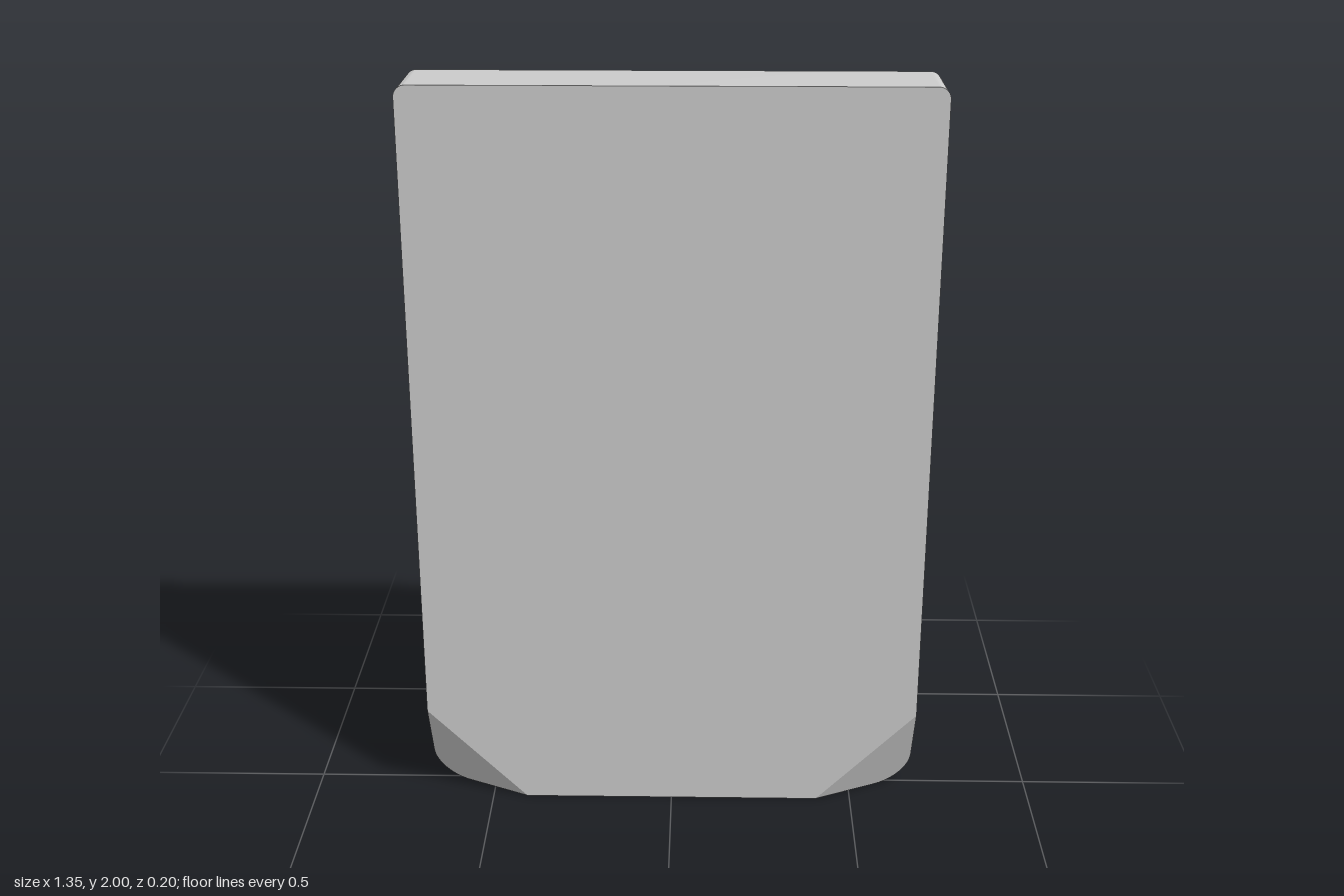
import * as THREE from 'three';
import { mergeGeometries, toCreasedNormals } from 'three/addons/utils/BufferGeometryUtils.js';

const W = 0.675, H = 2, D = 0.1;        // half width, height, half depth
const R_TOP = 0.03, R_BOTTOM = 0.1;     // corner radii
const CUT = 0.27;                       // leg of the corner cut on the front face
const CUT_END = 2 * R_BOTTOM * (1 - Math.SQRT1_2); // the cut reaches z = 0 at the middle of the arc
const EPS = 1e-5;

// distance measure from a bottom corner, constant along 45 degree lines
const cornerDistance = (p) => W - Math.abs(p.x) + p.y;

// front depth: flat, sloping back at the two cut bottom corners
const frontZ = (p) => Math.min(D, D * (cornerDistance(p) - CUT_END) / (CUT - CUT_END));

function outlinePoints() {
  const s = new THREE.Shape();
  s.moveTo(-W + CUT, 0);
  s.lineTo(W - CUT, 0);
  s.absarc(W - R_BOTTOM, R_BOTTOM, R_BOTTOM, -Math.PI / 2, 0);
  s.lineTo(W, CUT);
  s.absarc(W - R_TOP, H - R_TOP, R_TOP, 0, Math.PI / 2);
  s.absarc(-W + R_TOP, H - R_TOP, R_TOP, Math.PI / 2, Math.PI);
  s.lineTo(-W, CUT);
  s.absarc(-W + R_BOTTOM, R_BOTTOM, R_BOTTOM, Math.PI, Math.PI * 1.5);
  return s.getPoints(16);
}

// flat polygon whose points are lifted to a depth given by a rule
function face(points, depth) {
  const indexed = new THREE.ShapeGeometry(new THREE.Shape(points));
  const pos = indexed.attributes.position;
  for (let i = 0; i < pos.count; i++) {
    pos.setZ(i, depth({ x: pos.getX(i), y: pos.getY(i) }));
  }
  const g = indexed.toNonIndexed();
  g.deleteAttribute('uv');
  g.deleteAttribute('normal');
  return g;
}

// side wall running around the outline
function wall(points) {
  const v = [];
  points.forEach((a, i) => {
    const b = points[(i + 1) % points.length];
    const za = frontZ(a), zb = frontZ(b);
    v.push(a.x, a.y, -D, b.x, b.y, -D, b.x, b.y, zb);
    v.push(a.x, a.y, -D, b.x, b.y, zb, a.x, a.y, za);
  });
  const g = new THREE.BufferGeometry();
  g.setAttribute('position', new THREE.Float32BufferAttribute(v, 3));
  return g;
}

export function createModel() {
  const points = outlinePoints();

  // back face, turned to look towards -z
  const back = face(points.map((p) => new THREE.Vector2(-p.x, p.y)).reverse(), () => -D);
  back.scale(-1, 1, 1);
  const b = back.attributes.position;
  for (let i = 0; i < b.count; i += 3) {
    const p = new THREE.Vector3().fromBufferAttribute(b, i + 1);
    const q = new THREE.Vector3().fromBufferAttribute(b, i + 2);
    b.setXYZ(i + 1, q.x, q.y, q.z);
    b.setXYZ(i + 2, p.x, p.y, p.z);
  }
  // mirrored triangles run counter-clockwise from the front, so the swap turns them to the back

  const front = face(points.filter((p) => cornerDistance(p) > CUT - EPS), () => D);
  const cuts = [1, -1].map((side) => face(
    points.filter((p) => p.x * side > 0 && cornerDistance(p) < CUT + EPS), frontZ));

  const merged = mergeGeometries([front, back, ...cuts, wall(points)]);
  // orient the back so that its normals face -z
  const pos = merged.attributes.position;
  const [p, q, r] = [0, 1, 2].map(() => new THREE.Vector3());
  for (let i = 0; i < pos.count; i += 3) {
    [p, q, r].forEach((t, k) => t.fromBufferAttribute(pos, i + k));
    const onBack = [p, q, r].every((t) => t.z < -D + EPS);
    if (onBack && (q.x - p.x) * (r.y - p.y) > (q.y - p.y) * (r.x - p.x)) {
      pos.setXYZ(i + 1, r.x, r.y, r.z);
      pos.setXYZ(i + 2, q.x, q.y, q.z);
    }
  }

  const slab = new THREE.Mesh(
    toCreasedNormals(merged, 0.4),
    new THREE.MeshStandardMaterial({ color: 0xcccccc }));
  slab.name = 'slab';

  const group = new THREE.Group();
  group.name = 'slabWithCutCorners';
  group.add(slab);
  return group;
}
